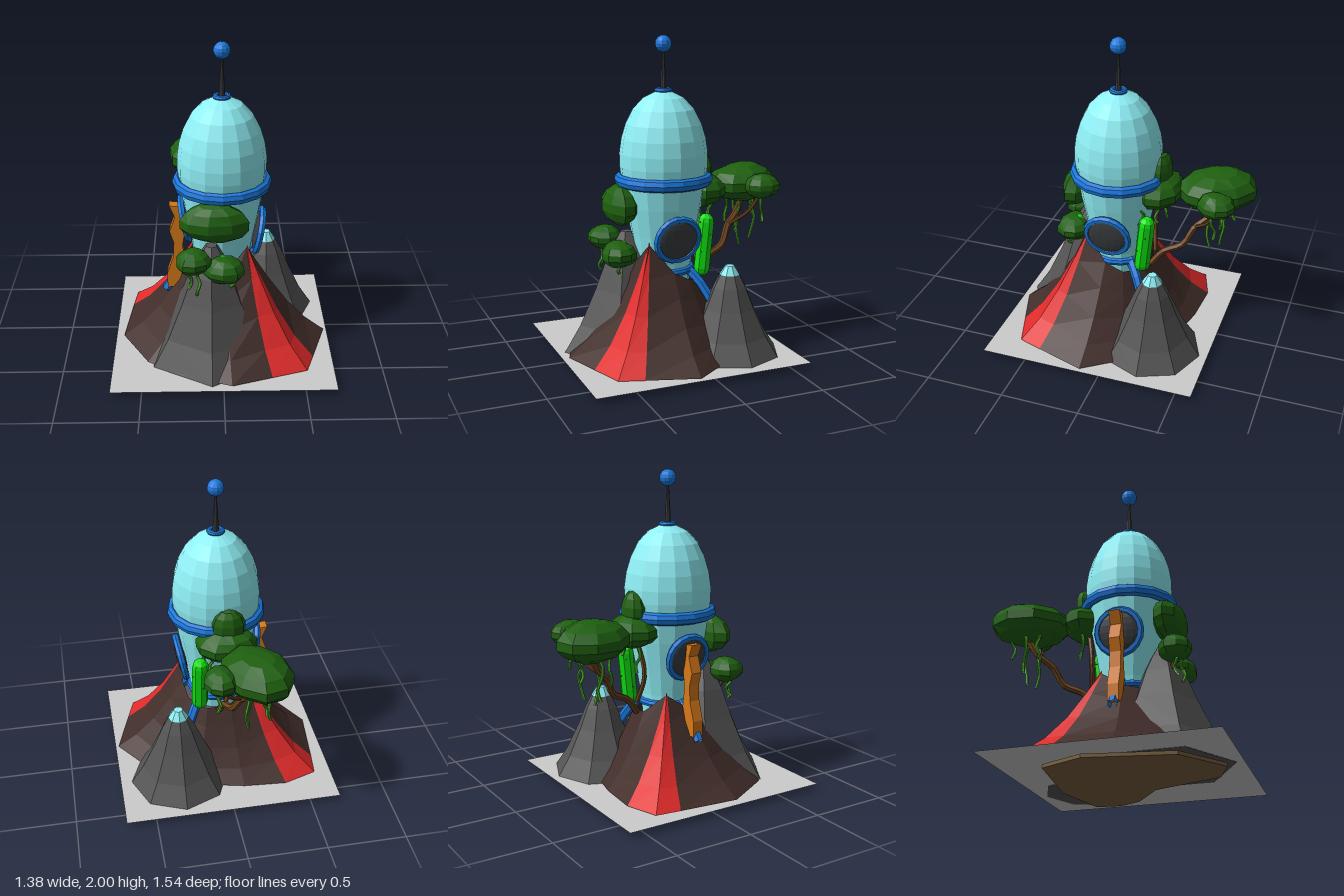
import * as THREE from 'three';

const COLORS = {
  rock: 0x545454, soil: 0x422e2a, lava: 0xe02a2a, glass: 0x8ff0f6, blue: 0x1a78dc, leaf: 0x1f6010,
  cactus: 0x10e010, flow: 0xd87a1a, wood: 0x70451e, vine: 0x4cac2c, earth: 0x7a6040, dark: 0x3a3d40, plate: 0xc2c2c2,
};
const mats = {};
for (const k in COLORS) {
  mats[k] = new THREE.MeshStandardMaterial({ color: COLORS[k], flatShading: true, side: THREE.DoubleSide });
}
const CZ = 0.08; // tower axis
const RIM = 0.22; // crater radius
const V = (x, y, z) => new THREE.Vector3(x, y, z);

export function createModel() {
  const root = new THREE.Group();
  const add = (name, geo, mat, x = 0, y = 0, z = 0, parent = root) => {
    const m = new THREE.Mesh(geo, mats[mat]);
    m.name = name;
    m.position.set(x, y, z);
    parent.add(m);
    return m;
  };
  const lathe = (pts, n, phi = 0) => new THREE.LatheGeometry(pts.map(p => new THREE.Vector2(p[0], p[1])), n, phi);
  const tube = (name, pts, r, mat, seg = 10) =>
    add(name, new THREE.TubeGeometry(new THREE.CatmullRomCurve3(pts), seg, r, 6), mat);

  // Base plate and the ragged slab of earth under it, outlined as [x, z]
  add('basePlate', new THREE.PlaneGeometry(1.38, 1.38).rotateX(-Math.PI / 2), 'plate', 0, 0.037, CZ);
  const outline = [[0.53, -0.14], [0.51, -0.3], [0.13, -0.39], [-0.4, -0.32], [-0.52, -0.05], [-0.42, 0.47],
    [-0.12, 0.68], [0.08, 0.6], [0.23, 0.17], [0.46, 0]].map(([x, z]) => new THREE.Vector2(x, -z));
  add('earthSlab', new THREE.ExtrudeGeometry(new THREE.Shape(outline), { depth: 0.022, bevelEnabled: false })
    .rotateX(-Math.PI / 2), 'earth');

  // Volcano: spokes from the foot [x, z] to the crater rim [angle, height]; the flag starts a lava face
  const spokes = [
    [0.67, 0.12, 5, 0.56], [0.57, 0.43, 45, 0.73, 1], [0.52, 0.58, 46, 0.75, 1], [0.3, 0.65, 47, 0.73],
    [0.05, 0.73, 85, 0.58], [-0.25, 0.62, 120, 0.5], [-0.47, 0.47, 145, 0.5], [-0.64, 0.17, 175, 0.52],
    [-0.6, -0.21, 213, 0.62, 1], [-0.58, -0.37, 214, 0.64, 1], [-0.37, -0.44, 215, 0.62],
    [-0.1, -0.42, 255, 0.5], [0.2, -0.35, 295, 0.48], [0.5, -0.12, 335, 0.5],
  ];
  const steps = [[0, 0], [0.28, 0.18], [0.55, 0.43], [0.8, 0.73], [1, 1]]; // concave slope
  const spokePoint = ([x, z, deg, h], [t, k]) => {
    const a = deg * Math.PI / 180;
    return [x + (RIM * Math.cos(a) - x) * t, 0.045 + (h - 0.045) * k, z + (CZ + RIM * Math.sin(a) - z) * t];
  };
  const faces = { soil: [], lava: [] };
  spokes.forEach((s, i) => {
    const next = spokes[(i + 1) % spokes.length];
    for (let j = 0; j < steps.length - 1; j++) {
      const a = spokePoint(s, steps[j]), b = spokePoint(s, steps[j + 1]);
      const c = spokePoint(next, steps[j]), d = spokePoint(next, steps[j + 1]);
      faces[s[4] ? 'lava' : 'soil'].push(...a, ...b, ...c, ...b, ...d, ...c);
    }
  });
  for (const k in faces) {
    const g = new THREE.BufferGeometry();
    g.setAttribute('position', new THREE.Float32BufferAttribute(faces[k], 3));
    g.computeVertexNormals();
    add(k === 'lava' ? 'lavaStreams' : 'volcano', g, k);
  }

  // Grey mountains, the last bit of each capped with the given colour
  const mountain = (name, x, z, r, h, sides, cap) => {
    const p = [[1, 0], [0.75, 0.22], [0.5, 0.52], [0.33, 0.76], [0.2, 0.9]].map(([a, b]) => [a * r, 0.035 + b * h]);
    add(name, lathe([[0, 0.035], ...p], sides), 'rock', x, 0, z);
    add(name + 'Peak', lathe([p[4], [0.09 * r, 0.035 + h], [0, 0.035 + h]], sides), cap, x, 0, z);
  };
  mountain('backMountain', 0.3, -0.24, 0.32, 0.56, 8, 'glass');
  mountain('frontMountain', -0.07, 0.305, 0.42, 0.75, 6, 'rock');

  // Domed tower with collars, mast and ball
  add('towerDome', lathe([[0.16, 0.45], [0.175, 0.6], [0.205, 0.77], [0.24, 0.95], [0.265, 1.12], [0.275, 1.2], [0.275, 1.28],
    [0.262, 1.37], [0.235, 1.46], [0.19, 1.55], [0.125, 1.62], [0.045, 1.66], [0, 1.665]], 16), 'glass', 0, 0, CZ);
  const ring = (name, y, r, t, sy = 1) => add(name,
    new THREE.TorusGeometry(r, t, 8, 16).rotateX(Math.PI / 2).scale(1, sy, 1), 'blue', 0, y, CZ);
  ring('middleCollar', 1.115, 0.278, 0.03, 1.3);
  ring('topCollar', 1.665, 0.04, 0.016);
  ring('footCollar', 0.545, 0.17, 0.025);
  add('mast', new THREE.CylinderGeometry(0.006, 0.02, 0.25, 8), 'dark', 0, 1.795, CZ);
  add('mastBall', new THREE.SphereGeometry(0.052, 12, 8), 'blue', 0, 1.948, CZ);

  // Slanted legs at the tower foot
  [[0.23, -0.15], [-0.36, CZ], [0.2, 0.33]].forEach(([x, z]) => {
    tube('leg', [V(x * 0.45, 0.56, CZ + (z - CZ) * 0.45), V(x * 0.75, 0.47, CZ + (z - CZ) * 0.75), V(x, 0.35, z)],
      0.03, 'blue', 4);
  });

  // Round side windows with bulging panes
  for (const side of [1, -1]) {
    const g = new THREE.Group();
    g.name = side > 0 ? 'leftWindow' : 'rightWindow';
    add('windowRim', new THREE.TorusGeometry(0.136, 0.022, 6, 18).rotateY(Math.PI / 2), 'blue', 0, 0, 0, g);
    add('windowPane', new THREE.SphereGeometry(0.136, 16, 10).scale(0.22, 1, 1), 'dark', 0, 0, 0, g);
    g.position.set(side * 0.23, side > 0 ? 0.77 : 0.86, CZ);
    g.rotation.z = -side * 0.2;
    root.add(g);
  }

  // Orange stream out of one window
  const flow = [[-0.24, 0.95], [-0.33, 0.96], [-0.295, 0.88], [-0.33, 0.78], [-0.305, 0.7], [-0.31, 0.6], [-0.35, 0.48],
    [-0.35, 0.38], [-0.29, 0.38], [-0.23, 0.55], [-0.25, 0.68], [-0.23, 0.8]].map(p => new THREE.Vector2(...p));
  add('orangeStream', new THREE.ExtrudeGeometry(new THREE.Shape(flow), { depth: 0.07, bevelEnabled: false }),
    'flow', 0, 0, CZ - 0.035);

  // Cacti with small thorns
  const cactus = (x, y, z, r, h, tilt) => {
    const g = new THREE.Group();
    g.name = 'cactus';
    add('cactusStem', new THREE.CapsuleGeometry(r, h - 2 * r, 3, 8), 'cactus', 0, 0, 0, g);
    for (let i = 0; i < 9; i++) {
      const a = i * 2.4, t = add('thorn', new THREE.ConeGeometry(0.006, 0.025, 4).rotateX(Math.PI / 2), 'wood',
        r * Math.sin(a), (i / 8 - 0.5) * (h - 2 * r), r * Math.cos(a), g);
      t.rotation.y = a;
    }
    g.position.set(x, y, z);
    g.rotation.x = tilt;
    root.add(g);
  };
  cactus(0.14, 0.7, -0.135, 0.052, 0.4, -0.1);
  cactus(0, 0.64, 0.36, 0.04, 0.2, 0);

  // Leafy crowns: [x, y, z, rx, ry, rz, turn]
  [
    [-0.05, 0.955, 0.355, 0.22, 0.135, 0.105, 0], [-0.18, 0.725, 0.41, 0.115, 0.085, 0.11, 0.3],
    [0.01, 0.655, 0.39, 0.13, 0.09, 0.11, 0.1], [-0.135, 1.02, -0.53, 0.21, 0.135, 0.265, 0.45],
    [0.09, 1.03, -0.57, 0.105, 0.085, 0.125, -0.2], [-0.02, 1.02, -0.19, 0.2, 0.115, 0.15, 0],
    [-0.03, 1.15, -0.19, 0.11, 0.125, 0.07, 0],
  ].forEach(([x, y, z, rx, ry, rz, turn]) => {
    const geo = new THREE.SphereGeometry(1, 9, 7);
    const p = geo.attributes.position;
    for (let i = 0; i < p.count; i++) { // uneven lumps, flatter underneath
      const [a, b, c] = [p.getX(i), p.getY(i), p.getZ(i)];
      const k = 0.98 + 0.06 * Math.sin(3 * a + 9 * x) * Math.cos(4 * c + 5 * y);
      p.setXYZ(i, a * k * rx, b * k * ry * (b < 0 ? 0.9 : 1), c * k * rz);
    }
    geo.computeVertexNormals();
    add('leafCrown', geo, 'leaf', x, y, z).rotation.y = turn;
  });

  // Trunks and branches
  tube('trunk', [V(0.02, 0.48, -0.14), V(0, 0.58, -0.22), V(-0.03, 0.64, -0.34), V(-0.07, 0.75, -0.4),
    V(-0.12, 0.83, -0.49), V(-0.14, 0.98, -0.56)], 0.022, 'wood', 16);
  tube('branch', [V(-0.07, 0.76, -0.41), V(0.02, 0.86, -0.51), V(0.09, 1, -0.57)], 0.012, 'wood');
  tube('branch', [V(-0.02, 0.56, -0.16), V(-0.08, 0.75, -0.14), V(-0.03, 1, -0.18)], 0.016, 'wood');
  tube('branch', [V(-0.12, 0.5, 0.36), V(-0.15, 0.6, 0.38), V(-0.18, 0.7, 0.41)], 0.012, 'wood');

  // Hanging vines: [x, top, z, length]
  [
    [-0.2, 0.95, -0.45, 0.2], [-0.1, 0.95, -0.49, 0.34], [-0.22, 0.95, -0.53, 0.28], [-0.07, 0.95, -0.58, 0.3],
    [-0.17, 0.95, -0.63, 0.16], [0.1, 1, -0.56, 0.2], [0.12, 0.98, -0.11, 0.16], [0.08, 0.98, -0.2, 0.14],
    [-0.1, 0.97, -0.2, 0.2], [-0.2, 0.68, 0.42, 0.13], [-0.15, 0.68, 0.45, 0.16], [0.06, 0.62, 0.4, 0.1],
  ].forEach(([x, y, z, len], i) => {
    const pts = [0, 0.25, 0.5, 0.75, 1].map((t, j) =>
      V(x + 0.012 * Math.sin(j * 2 + i), y - len * t, z + 0.014 * Math.cos(j * 1.7 + i * 2)));
    tube('vine', pts, 0.01, 'vine', 8);
  });
  return root;
}
